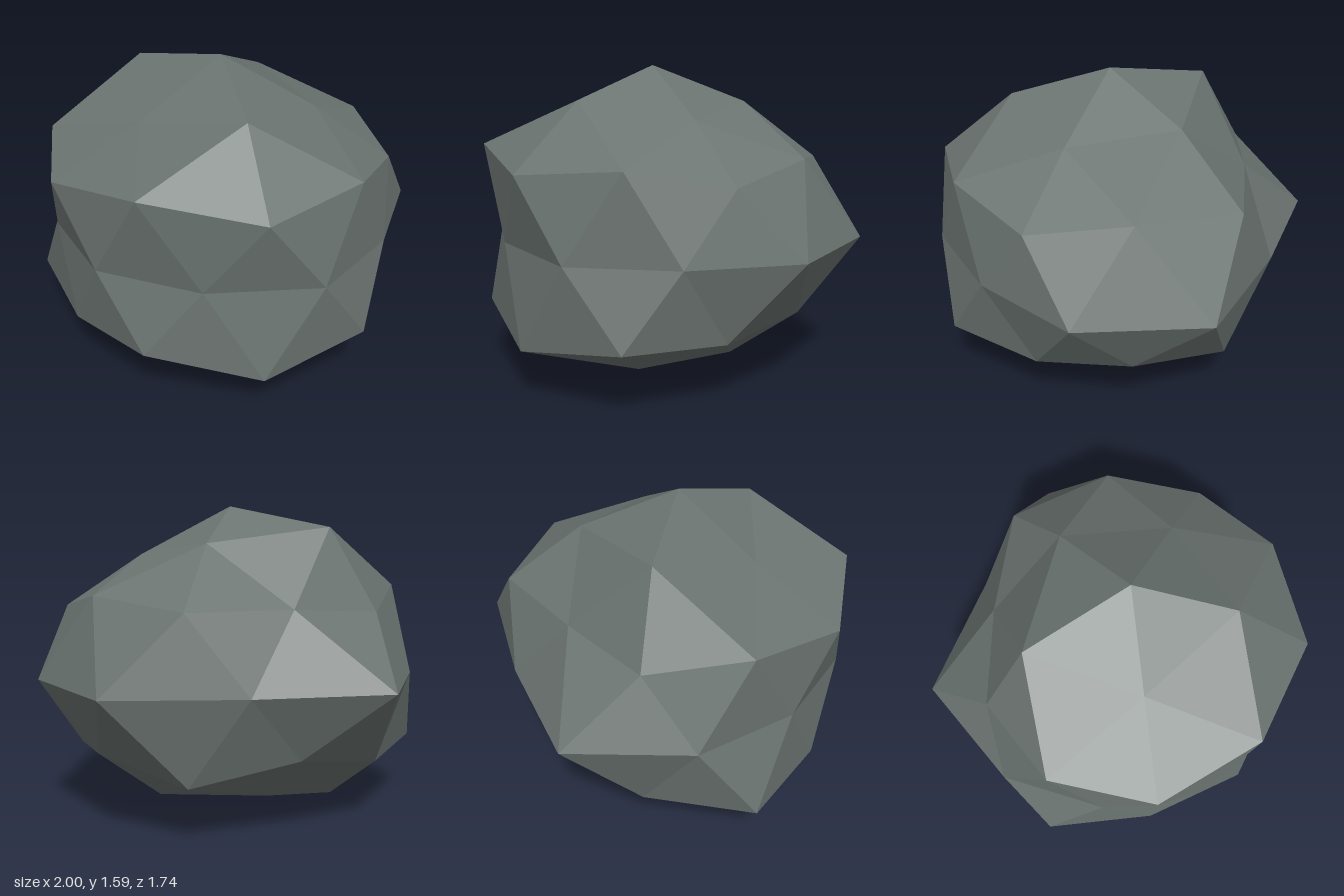
import * as THREE from 'three';

// Boulder: a once-subdivided icosahedron standing on its pole, each corner
// pushed in or out by its own radius, then squashed in height and depth.
const CENTRE = new THREE.Vector3(0.006, 0.74, 0.03);
const SCALE = new THREE.Vector3(1, 0.8, 0.93);

// One ring of corners: latitude(s) and first azimuth in degrees, radii in order.
function ring(lats, start, radii) {
  return radii.map((r, i) => {
    const lat = THREE.MathUtils.degToRad(lats[i % lats.length]);
    const az = THREE.MathUtils.degToRad(start + (i * 360) / radii.length);
    return new THREE.Vector3(
      Math.cos(lat) * Math.sin(az), Math.sin(lat), Math.cos(lat) * Math.cos(az)
    ).multiplyScalar(r).multiply(SCALE).add(CENTRE);
  });
}

function boulderGeometry() {
  const [top] = ring([90], 0, [1.073]);
  const crown = ring([58.28], 18, [1.03, 0.895, 0.985, 1.1, 0.87]);
  const upper = ring([26.57, 31.72], 18,
    [1.065, 1.023, 0.965, 1.015, 1.045, 0.875, 0.935, 1.047, 1.043, 1.1]);
  const middle = ring([0], 0,
    [0.875, 0.945, 0.895, 1.04, 1.14, 0.97, 1.14, 0.965, 0.875, 0.9]);
  const lower = ring([-31.72, -26.57], 18,
    [1.11, 1.06, 0.945, 0.955, 1.037, 0.93, 1.0, 1.125, 1.022, 1.04]);
  const foot = ring([-58.28], 54, [0.917, 0.917, 0.885, 1.08, 0.89]);
  const [bottom] = ring([-90], 0, [0.872]);

  const points = [];
  const at = (list, i) => list[i % list.length];

  // Cap of 20 faces between a pole and a ring of ten
  function cap(pole, five, ten, shift, flip) {
    const face = (a, b, c) => points.push(...(flip ? [a, c, b] : [a, b, c]));
    for (let k = 0; k < 5; k++) {
      const a = five[k], b = at(five, k + 1), j = 2 * k + shift;
      face(pole, a, b);
      face(a, at(ten, j), at(ten, j + 1));
      face(a, at(ten, j + 1), b);
      face(b, at(ten, j + 1), at(ten, j + 2));
    }
  }
  cap(top, crown, upper, 0, false);
  cap(bottom, foot, lower, 1, true);

  // Two zigzag bands meeting at the middle ring
  for (let j = 0; j < 10; j++) {
    const m0 = middle[j], m1 = at(middle, j + 1);
    points.push(upper[j], m0, m1);
    points.push(upper[j], m1, at(upper, j + 1));
    points.push(lower[j], m1, m0);
    points.push(lower[j], at(lower, j + 1), m1);
  }

  // Unshared corners keep every facet flat
  const geometry = new THREE.BufferGeometry().setFromPoints(points);
  geometry.computeVertexNormals();
  return geometry;
}

export function createModel() {
  const stone = new THREE.MeshStandardMaterial({ color: 0x6b7471 });
  stone.name = 'stone grey';

  const boulder = new THREE.Mesh(boulderGeometry(), stone);
  boulder.name = 'boulder';

  const model = new THREE.Group();
  model.name = 'rock';
  model.add(boulder);
  return model;
}
